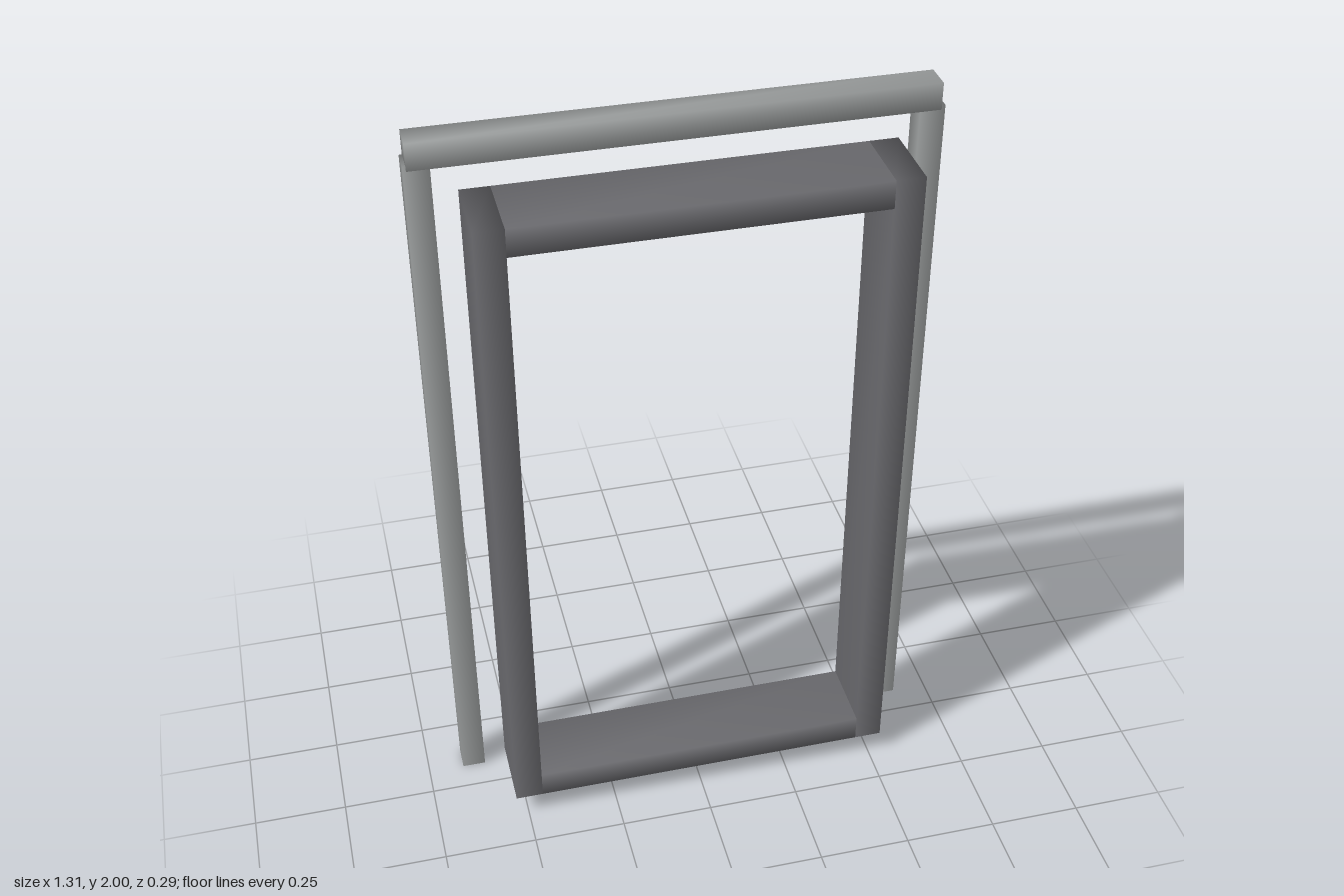
import * as THREE from 'three';
import { mergeVertices } from 'three/addons/utils/BufferGeometryUtils.js';

const frameMaterial = new THREE.MeshStandardMaterial({ color: 0x9a9d9d });
const panelMaterial = new THREE.MeshStandardMaterial({ color: 0x68686c });

// Beam between two corners, with normals blended smoothly over its edges
function beam(name, material, [x0, y0, z0], [x1, y1, z1]) {
  let geometry = new THREE.BoxGeometry(x1 - x0, y1 - y0, z1 - z0);
  geometry.deleteAttribute('normal');
  geometry.deleteAttribute('uv');
  geometry = mergeVertices(geometry);
  geometry.computeVertexNormals();
  const mesh = new THREE.Mesh(geometry, material);
  mesh.name = name;
  mesh.position.set((x0 + x1) / 2, (y0 + y1) / 2, (z0 + z1) / 2);
  return mesh;
}

export function createModel() {
  const model = new THREE.Group();
  model.name = 'doorFrame';

  // Thin trim behind: two posts under a slightly thicker head rail
  const trim = new THREE.Group();
  trim.name = 'outerTrim';
  trim.add(
    beam('leftPost', frameMaterial, [0.59, 0, -0.141], [0.653, 1.939, -0.077]),
    beam('rightPost', frameMaterial, [-0.653, 0, -0.141], [-0.59, 1.939, -0.077]),
    beam('headRail', frameMaterial, [-0.645, 1.93, -0.147], [0.642, 2, -0.072]),
  );

  // Deep inner frame: full-height jambs joined by a lintel and a sill
  const inner = new THREE.Group();
  inner.name = 'innerFrame';
  const back = -0.058, front = 0.145;
  inner.add(
    beam('leftJamb', panelMaterial, [0.458, 0.065, back], [0.532, 1.877, front]),
    beam('rightJamb', panelMaterial, [-0.532, 0.065, back], [-0.458, 1.877, front]),
    beam('lintel', panelMaterial, [-0.458, 1.803, back], [0.458, 1.877, front]),
    beam('sill', panelMaterial, [-0.458, 0.065, back], [0.458, 0.14, front]),
  );

  model.add(trim, inner);
  return model;
}
